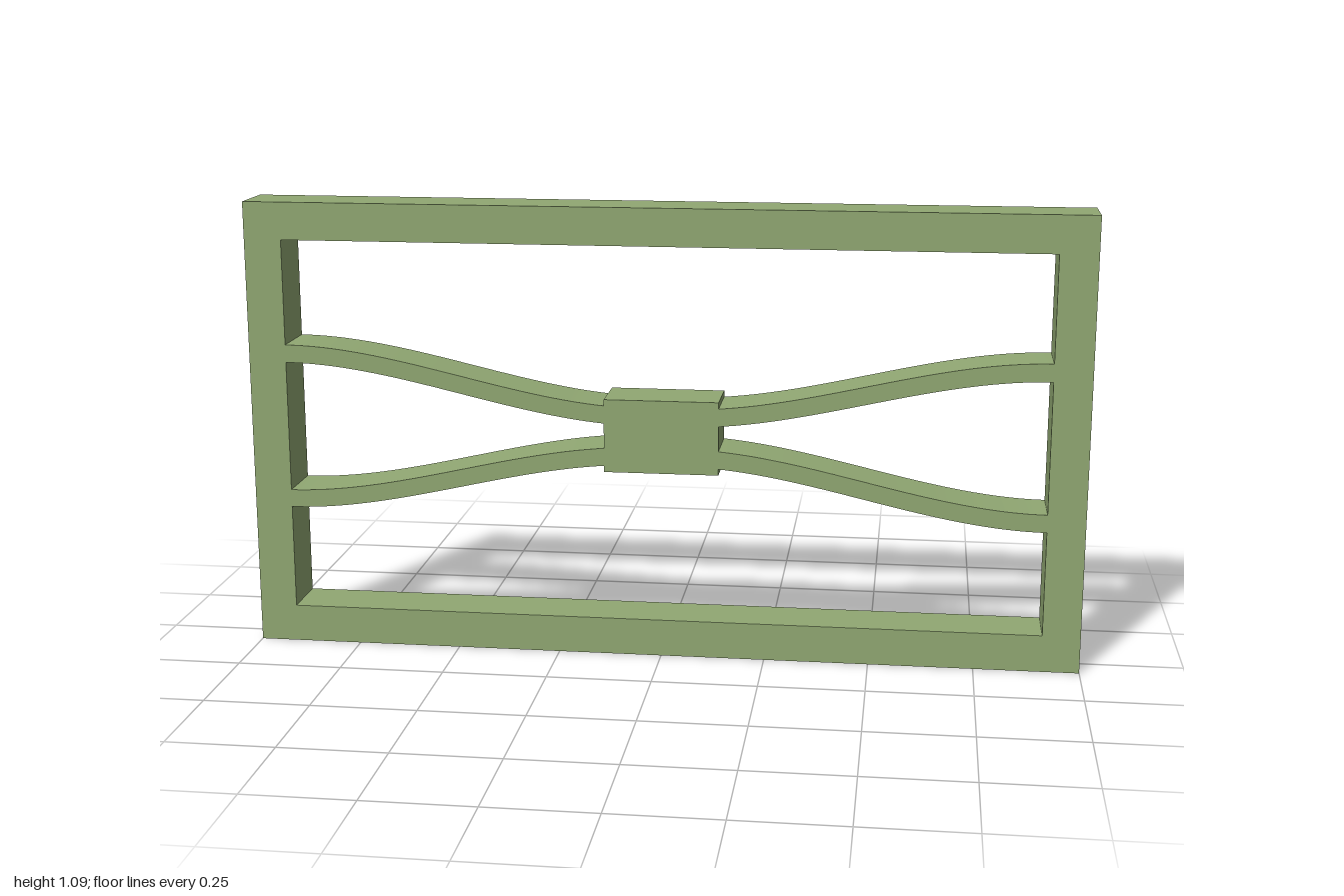
import * as THREE from 'three';
import { toCreasedNormals } from 'three/addons/utils/BufferGeometryUtils.js';

const DEPTH = 0.136;
const HEIGHT = 1.09;
const MID = HEIGHT / 2;
const RAIL = 0.09;

const material = new THREE.MeshStandardMaterial({ color: 0x91a873 });

function addMesh(parent, name, geometry) {
  const mesh = new THREE.Mesh(geometry, material);
  mesh.name = name;
  parent.add(mesh);
  return mesh;
}

// Extrudes a flat outline to the common depth, centred on z = 0
function extrude(shape) {
  const geometry = new THREE.ExtrudeGeometry(shape, { depth: DEPTH, bevelEnabled: false });
  geometry.translate(0, 0, -DEPTH / 2);
  return toCreasedNormals(geometry, Math.PI / 6);
}

function rectangle(path, x, y0, y1) {
  path.moveTo(-x, y0);
  path.lineTo(x, y0);
  path.lineTo(x, y1);
  path.lineTo(-x, y1);
  path.closePath();
  return path;
}

// S-curved flexure from the hub to the side rail; sx and sy pick the quadrant
function flexure(sx, sy) {
  const inner = 0.05, outer = 0.92, half = 0.0215, steps = 32;
  const upper = [], lower = [];
  for (let i = 0; i <= steps; i++) {
    const x = 0.1 + (outer - 0.1) * i / steps;
    const t = THREE.MathUtils.smoothstep(x, inner, 0.91);
    const y = MID + sy * (0.048 + 0.132 * t);
    upper.push(new THREE.Vector2(sx * x, y + half));
    lower.push(new THREE.Vector2(sx * x, y - half));
  }
  return extrude(new THREE.Shape([...lower, ...upper.reverse()]));
}

export function createModel() {
  const model = new THREE.Group();
  model.name = 'flexureFrame';

  // Outer rectangular frame with its opening
  const outline = rectangle(new THREE.Shape(), 1, 0, HEIGHT);
  outline.holes.push(rectangle(new THREE.Path(), 1 - RAIL, RAIL, HEIGHT - RAIL));
  addMesh(model, 'frame', extrude(outline));

  // Central hub block
  addMesh(model, 'hub', new THREE.BoxGeometry(0.274, 0.177, DEPTH)).position.y = MID;

  // Four mirrored flexures
  for (const [side, sx] of [['left', 1], ['right', -1]]) {
    for (const [level, sy] of [['Upper', 1], ['Lower', -1]]) {
      addMesh(model, `${side}${level}Flexure`, flexure(sx, sy));
    }
  }
  return model;
}
